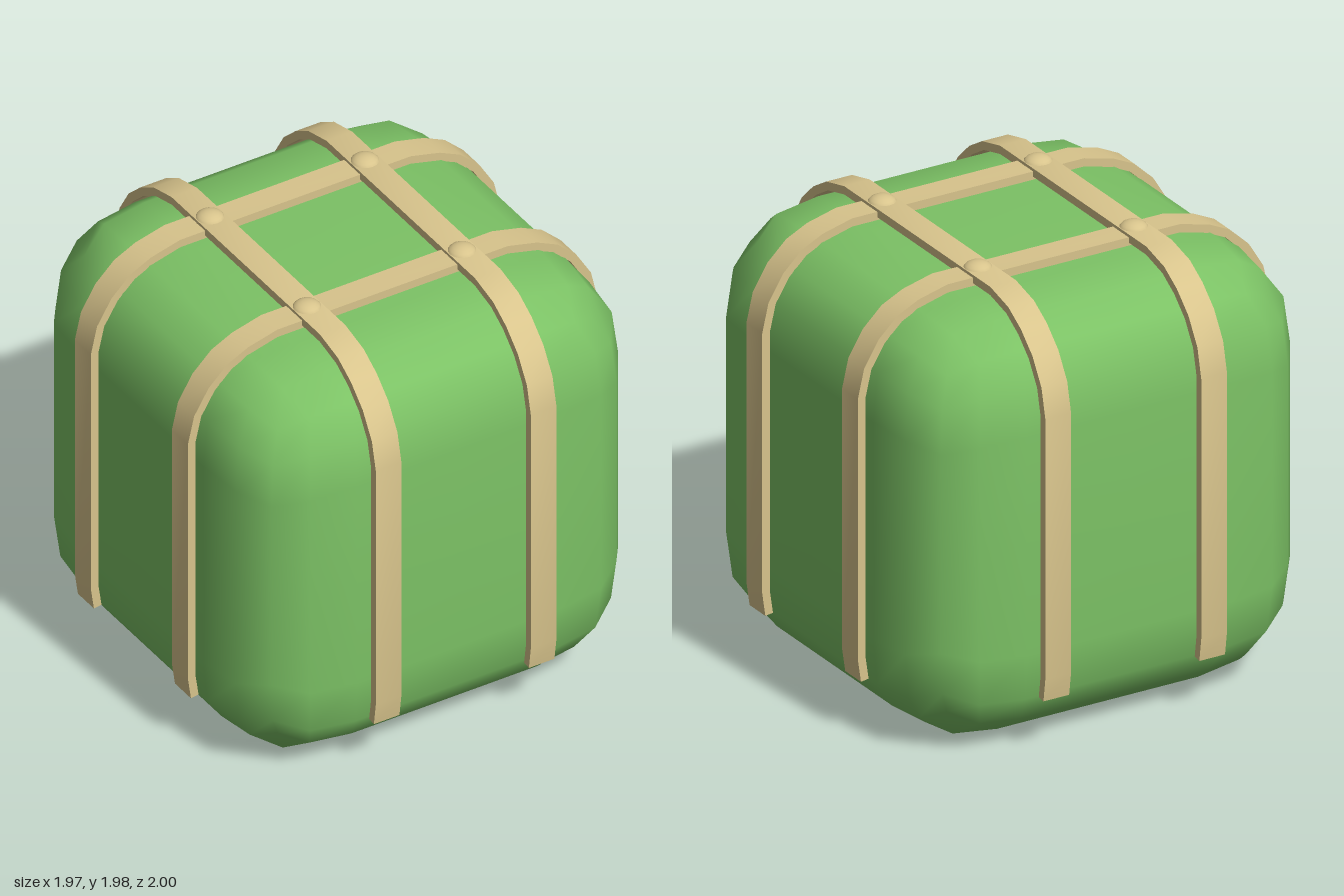
import * as THREE from 'three';
import { mergeVertices, toCreasedNormals } from 'three/addons/utils/BufferGeometryUtils.js';

const green = new THREE.MeshStandardMaterial({ color: 0x7cc265 });
const tan = new THREE.MeshStandardMaterial({ color: 0xd8c48c });

const HALF = 0.945;
const LEVEL = [0, 0.49, 0.7, 0.83]; // grid lines across a face
const DROP = [0, 0, 0.025, 0.115]; // how far the face falls away at each line

// Soft cube: a 6 x 6 grid per face, rounded towards edges and corners
function softCube() {
  let geo = new THREE.BoxGeometry(6, 6, 6, 6, 6, 6);
  geo.deleteAttribute('uv');
  geo.deleteAttribute('normal');
  geo = mergeVertices(geo);
  const pos = geo.attributes.position;
  for (let i = 0; i < pos.count; i++) {
    const g = [pos.getX(i), pos.getY(i), pos.getZ(i)].map(Math.round);
    const n = g.findIndex((c) => Math.abs(c) === 3);
    const p = [0, 0, 0];
    const a = (n + 1) % 3, b = (n + 2) % 3;
    const da = DROP[Math.abs(g[a])], db = DROP[Math.abs(g[b])];
    p[n] = Math.sign(g[n]) * (HALF - da - db + 0.04 * (da * db) / 0.115 ** 2);
    p[a] = Math.sign(g[a]) * LEVEL[Math.abs(g[a])] * (1 - 0.652 * db / 0.83);
    p[b] = Math.sign(g[b]) * LEVEL[Math.abs(g[b])] * (1 - 0.652 * da / 0.83);
    pos.setXYZ(i, ...p);
  }
  geo.computeVertexNormals();
  return geo;
}

// Strap: outer outline of one half, mirrored, thickened inwards and extruded
function strapGeometry(reach, top) {
  const half = [
    [reach - 0.015, 0.255], [reach, 0.36], [reach, 1.53], [reach - 0.03, 1.66],
    [reach - 0.1, 1.775], [reach - 0.19, 1.86], [reach - 0.29, top - 0.035], [reach - 0.43, top],
  ].map(([x, y]) => new THREE.Vector2(x, y));
  const outer = [...half, ...half.map((p) => new THREE.Vector2(-p.x, p.y)).reverse()];
  const inner = outer.map((p, i) => {
    const d = outer[Math.min(i + 1, outer.length - 1)].clone().sub(outer[Math.max(i - 1, 0)]).normalize();
    return new THREE.Vector2(p.x - d.y * 0.037, p.y + d.x * 0.037);
  });
  const shape = new THREE.Shape([...outer, ...inner.reverse()]);
  const geo = new THREE.ExtrudeGeometry(shape, { depth: 0.123, bevelEnabled: false });
  geo.translate(0, 0, -0.0615);
  return toCreasedNormals(geo, 0.65);
}

export function createModel() {
  const group = new THREE.Group();
  const add = (name, geo, mat, x, y, z, turn = 0) => {
    const mesh = new THREE.Mesh(geo, mat);
    mesh.name = name;
    mesh.position.set(x, y, z);
    mesh.rotation.y = turn;
    group.add(mesh);
    return mesh;
  };

  add('body', softCube(), green, 0, 0.95, 0);

  // Two straps each way over the top
  const sideStrap = strapGeometry(0.985, 1.943);
  const frontStrap = strapGeometry(1.0, 1.956);
  const stud = new THREE.SphereGeometry(0.063, 16, 10);
  stud.scale(1, 0.6, 1);
  const at = 0.373;
  for (const s of [-1, 1]) {
    add('sideToSideStrap', sideStrap, tan, 0, 0, s * at);
    add('frontToBackStrap', frontStrap, tan, s * at, 0, 0, Math.PI / 2);
    // Domed studs where the straps cross
    for (const t of [-1, 1]) add('stud', stud, tan, s * at, 1.943, t * at);
  }
  return group;
}
